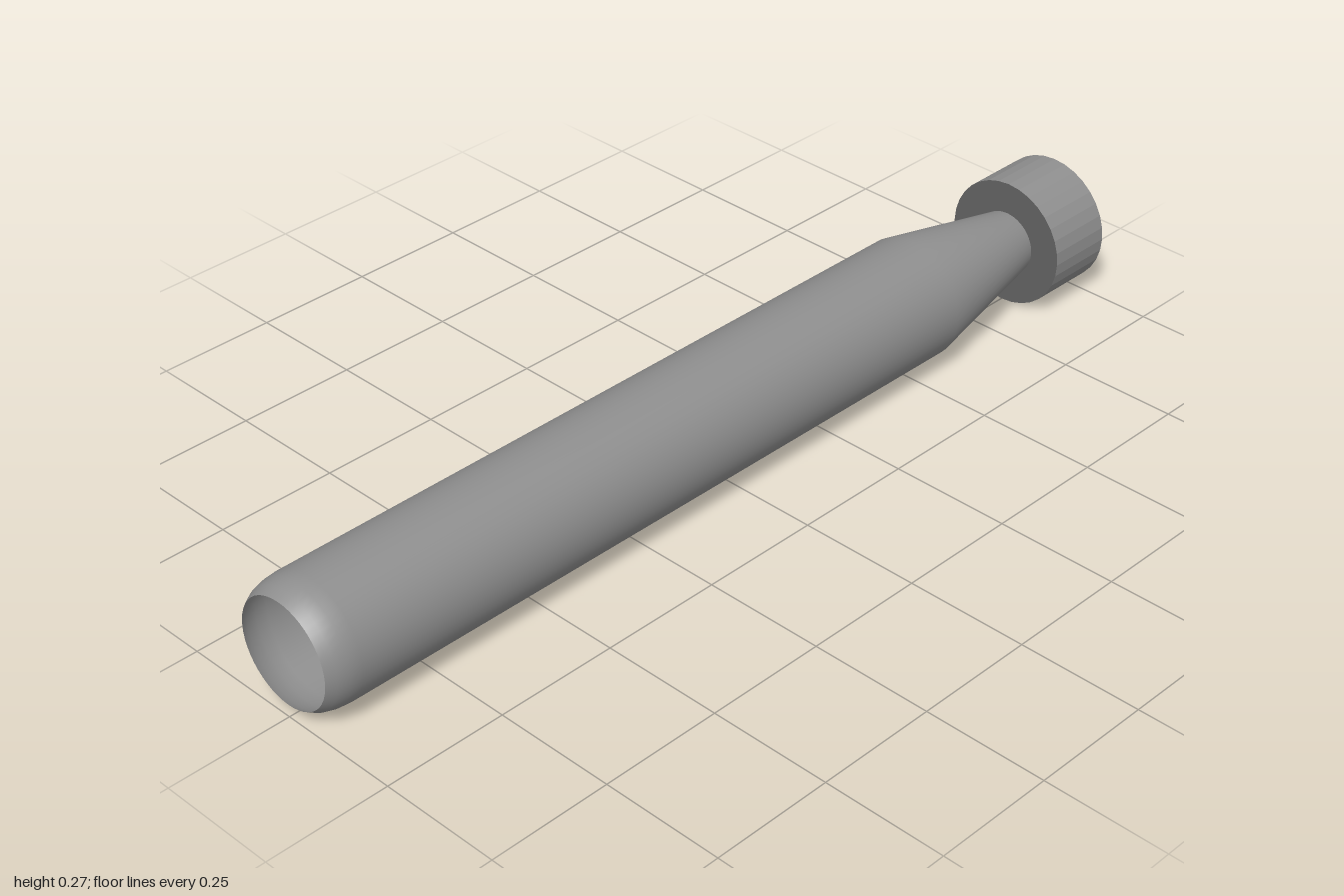
import * as THREE from 'three';

const SEGMENTS = 48;
const AXIS_Y = 0.133;

export function createModel() {
  const group = new THREE.Group();
  const shell = new THREE.MeshStandardMaterial({ color: 0x8f8f8f, side: THREE.DoubleSide });
  const solid = new THREE.MeshStandardMaterial({ color: 0x8f8f8f, flatShading: true });
  const dark = new THREE.MeshStandardMaterial({ color: 0x646464 });

  function add(name, geometry, material) {
    geometry.rotateX(Math.PI / 2); // turn the axis from y to z
    const mesh = new THREE.Mesh(geometry, material);
    mesh.name = name;
    mesh.position.y = AXIS_Y;
    group.add(mesh);
  }

  // Thin surface of revolution from [radius, z] pairs, back to front
  const revolve = (name, profile) => add(name,
    new THREE.LatheGeometry(profile.map(([r, z]) => new THREE.Vector2(r, z)), SEGMENTS), shell);

  // Hollow tube with a tapered neck and a rounded lip, open at the front
  revolve('tubeBody', [
    [0.067, -0.855], [0.125, -0.56], [0.125, 0.935],
    [0.123, 0.96], [0.117, 0.983], [0.107, 1],
  ]);
  // Disc closing the narrow end of the neck
  revolve('neckFloor', [[0, -0.85], [0.067, -0.85]]);

  // Solid faceted cap at the back, with a darker front face
  const cap = new THREE.CylinderGeometry(0.133, 0.133, 0.145, 32);
  cap.translate(0, -0.9275, 0);
  add('endCap', cap, [solid, dark, solid]);

  return group;
}
